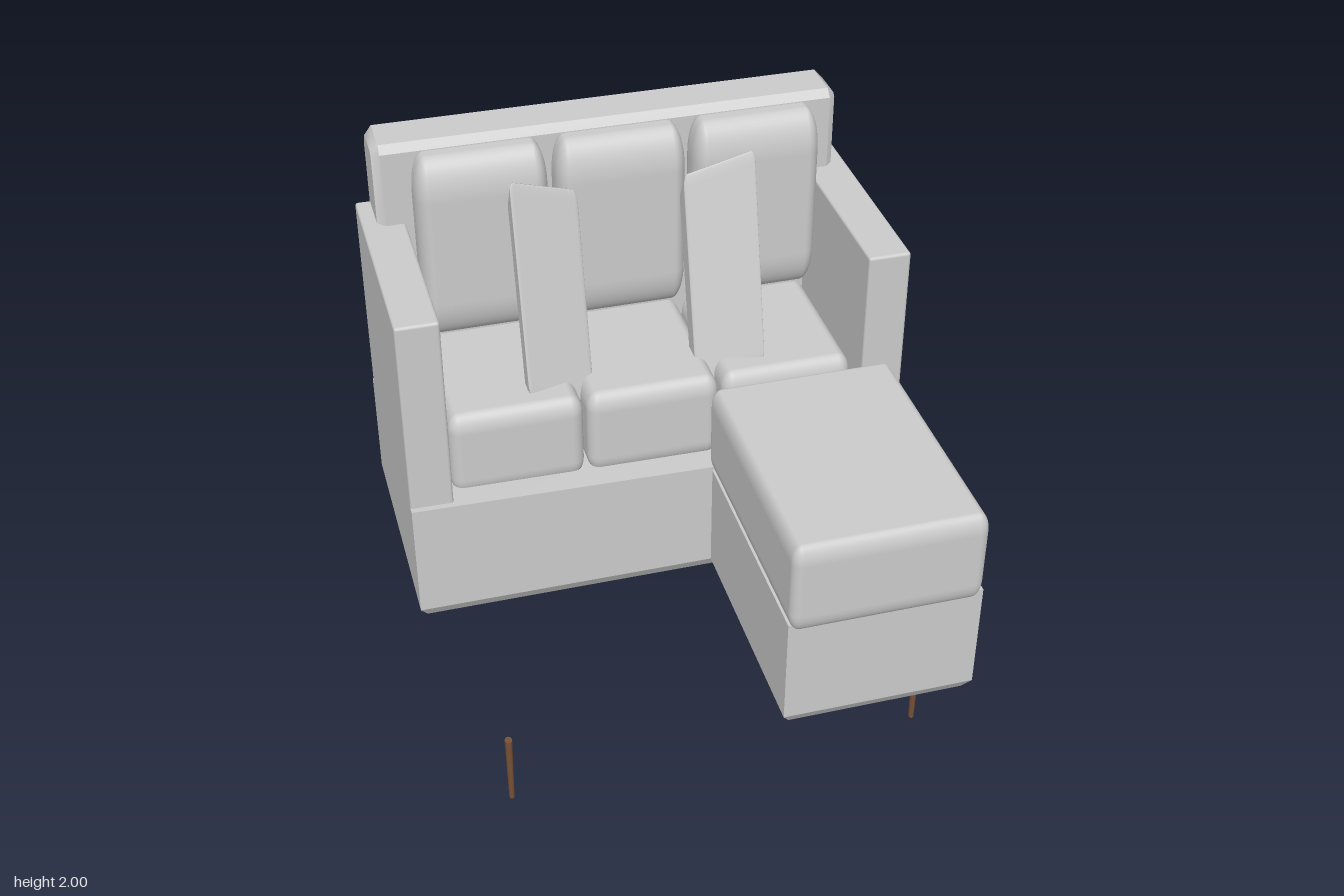
import * as THREE from 'three';
import { toCreasedNormals } from 'three/addons/utils/BufferGeometryUtils.js';
import { RoundedBoxGeometry } from 'three/addons/geometries/RoundedBoxGeometry.js';

const fabric = new THREE.MeshStandardMaterial({ color: 0xcccccc });
const wood = new THREE.MeshStandardMaterial({ color: 0x7a5238 });

// Rounded block between two corners, with its own rounding along each axis
function softBlock([x0, y0, z0], [x1, y1, z1], [rx, ry, rz], segments = 4) {
  const g = new RoundedBoxGeometry((x1 - x0) / rx, (y1 - y0) / ry, (z1 - z0) / rz, segments, 1);
  g.scale(rx, ry, rz);
  g.translate((x0 + x1) / 2, (y0 + y1) / 2, (z0 + z1) / 2);
  return g;
}

// Plinth block whose lowest ring is drawn in to form a bottom chamfer
function plinth(x0, x1, z0, z1, rise) {
  const g = new THREE.BoxGeometry(x1 - x0, 2, z1 - z0, 1, 2, 1);
  const p = g.attributes.position;
  const cx = (x0 + x1) / 2, cz = (z0 + z1) / 2;
  for (let i = 0; i < p.count; i++) {
    let x = p.getX(i), z = p.getZ(i);
    const level = Math.round(p.getY(i)) + 1;
    if (level === 0) {
      x -= Math.sign(x) * 0.03;
      z -= Math.sign(z) * 0.03;
    }
    // the front left top corner sits a little higher
    const lift = level === 2 && x < 0 && z > 0 ? rise : 0;
    p.setXYZ(i, x + cx, [0.26, 0.31, 0.77][level] + lift, z + cz);
  }
  return toCreasedNormals(g, 0.5);
}

export function createModel() {
  const model = new THREE.Group();
  const add = (name, geometry, material = fabric) => {
    const mesh = new THREE.Mesh(geometry, material);
    mesh.name = name;
    model.add(mesh);
    return mesh;
  };

  // L-shaped base
  add('sofaBase', plinth(-1, 1, -0.99, 0.01, 0.04));
  add('chaiseBase', plinth(0.21, 0.97, -0.04, 0.97, 0));

  // Backrest: side profile (z, y) extruded across the width
  const profile = [[-0.97, 0.78], [-0.75, 0.78], [-0.75, 1.95], [-0.78, 1.98],
    [-0.95, 1.98], [-1, 1.9], [-1, 0.87]];
  const back = new THREE.ExtrudeGeometry(
    new THREE.Shape(profile.map(([z, y]) => new THREE.Vector2(z, y))),
    { depth: 1.82, bevelSize: 0.03, bevelThickness: 0.03, bevelOffset: -0.03, bevelSegments: 1 });
  back.translate(0, 0, -0.91);
  back.rotateY(-Math.PI / 2);
  add('backrest', toCreasedNormals(back, 0.7));

  // Arms
  for (const [name, x] of [['rightArm', -1], ['leftArm', 0.83]]) {
    add(name, softBlock([x, 0.74, -0.97], [x + 0.17, 1.64, -0.015], [0.012, 0.012, 0.012], 2));
  }

  // Three seat cushions and three back cushions
  for (let i = -1; i <= 1; i++) {
    const x = i * 0.55;
    add('seatCushion', softBlock([x - 0.268, 0.76, -0.74], [x + 0.268, 1.14, -0.09], [0.05, 0.08, 0.05]));
    add('backCushion', softBlock([x - 0.26, 1.21, -0.73], [x + 0.26, 2, -0.53], [0.055, 0.17, 0.085], 6));
  }

  // Chaise cushion
  add('chaiseCushion', softBlock([0.21, 0.745, -0.05], [0.96, 1.14, 1], [0.04, 0.08, 0.04]));

  // Leaning throw pillows: a soft unit block sheared onto three edge directions
  const across = new THREE.Vector3(0.27, -0.1, -0.05);
  const up = new THREE.Vector3(0, 0.84, -0.21);
  const forward = new THREE.Vector3(0, 0.1, 0.06);
  const centre = new THREE.Vector3(-0.48, 1.97, -0.39)
    .addScaledVector(across, 0.5).addScaledVector(up, -0.5).addScaledVector(forward, -0.5);
  const pillow = new RoundedBoxGeometry(1, 1, 1, 3, 0.06);
  pillow.applyMatrix4(new THREE.Matrix4().makeBasis(across, up, forward).setPosition(centre));
  add('rightPillow', pillow);
  add('leftPillow', pillow).scale.x = -1;

  // Slim tapered legs at the four corners of the footprint
  for (const x of [-0.81, 0.81]) {
    for (const z of [-0.8, 0.8]) {
      const leg = new THREE.CylinderGeometry(0.018, 0.013, 0.3, 8);
      leg.scale(0.8, 1, 1);
      leg.translate(x, 0.15, z);
      add('leg', leg, wood);
    }
  }
  return model;
}
